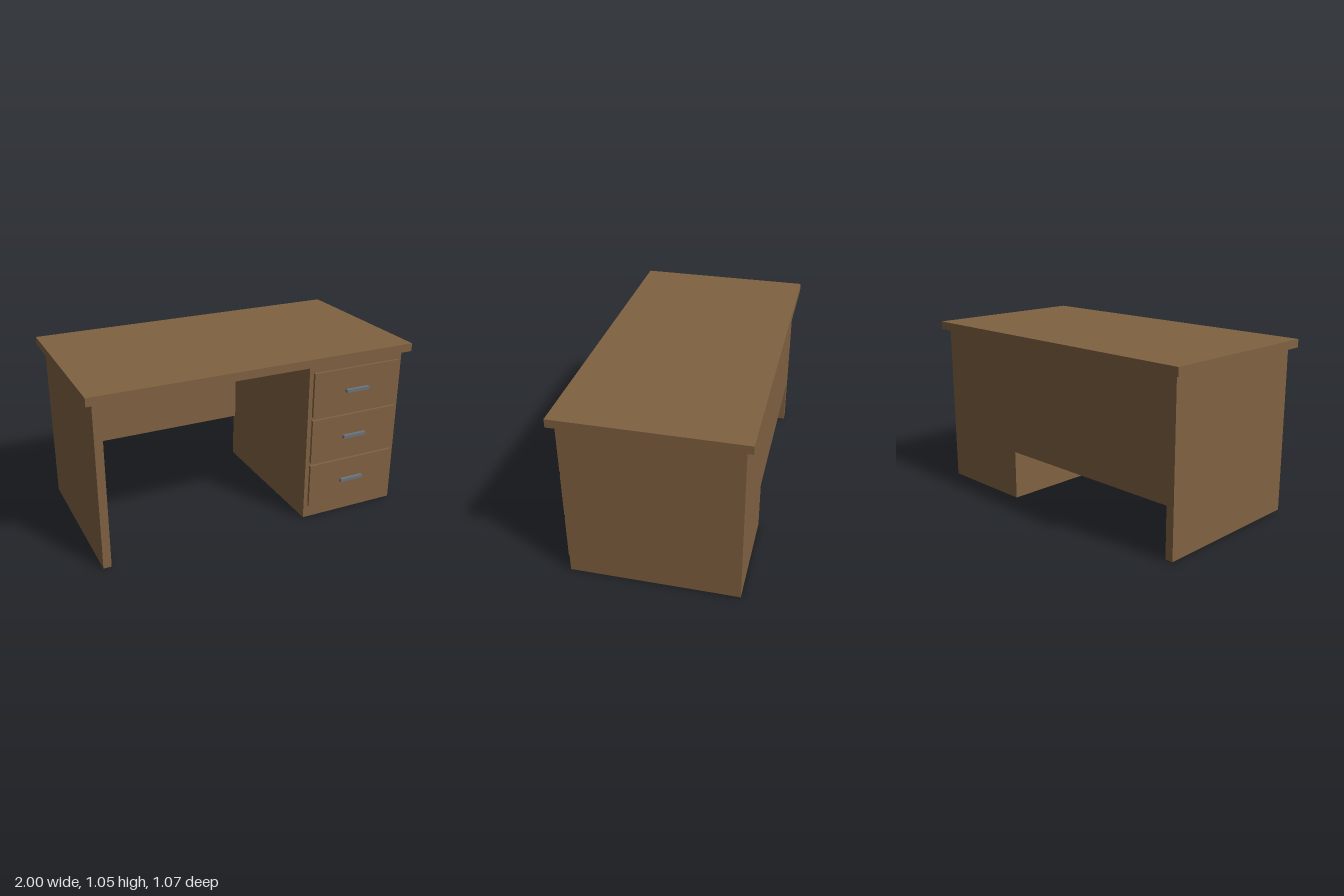
import * as THREE from 'three';

export function createModel() {
  const desk = new THREE.Group();
  desk.name = 'desk';

  const wood = new THREE.MeshStandardMaterial({ color: 0x806141 });
  wood.name = 'brown wood';
  const metal = new THREE.MeshStandardMaterial({ color: 0x6b757c });
  metal.name = 'grey metal';

  // Box given by its lower and upper corners
  function addBox(parent, name, material, [x0, y0, z0], [x1, y1, z1]) {
    const mesh = new THREE.Mesh(new THREE.BoxGeometry(x1 - x0, y1 - y0, z1 - z0), material);
    mesh.position.set((x0 + x1) / 2, (y0 + y1) / 2, (z0 + z1) / 2);
    mesh.name = name;
    parent.add(mesh);
  }

  const depth = 0.496; // half depth of the body
  addBox(desk, 'desktop', wood, [-1, 1, -0.534], [1, 1.049, 0.534]);
  addBox(desk, 'sideLeg', wood, [-0.96, 0, -depth], [-0.912, 1, depth]);
  addBox(desk, 'pedestal', wood, [0.323, 0, -depth], [0.958, 1, depth]);
  addBox(desk, 'backPanel', wood, [-0.912, 0.302, -depth], [0.323, 1, -depth + 0.03]);

  // Three drawers, each a raised front with a bar handle
  for (let i = 0; i < 3; i++) {
    const drawer = new THREE.Group();
    drawer.name = 'drawer' + (i + 1);
    drawer.position.y = 0.081 + i * 0.297;
    addBox(drawer, 'drawerFront', wood, [0.35, 0, depth], [0.932, 0.275, 0.512]);
    addBox(drawer, 'handle', metal, [0.564, 0.128, 0.512], [0.718, 0.147, 0.532]);
    desk.add(drawer);
  }
  return desk;
}
